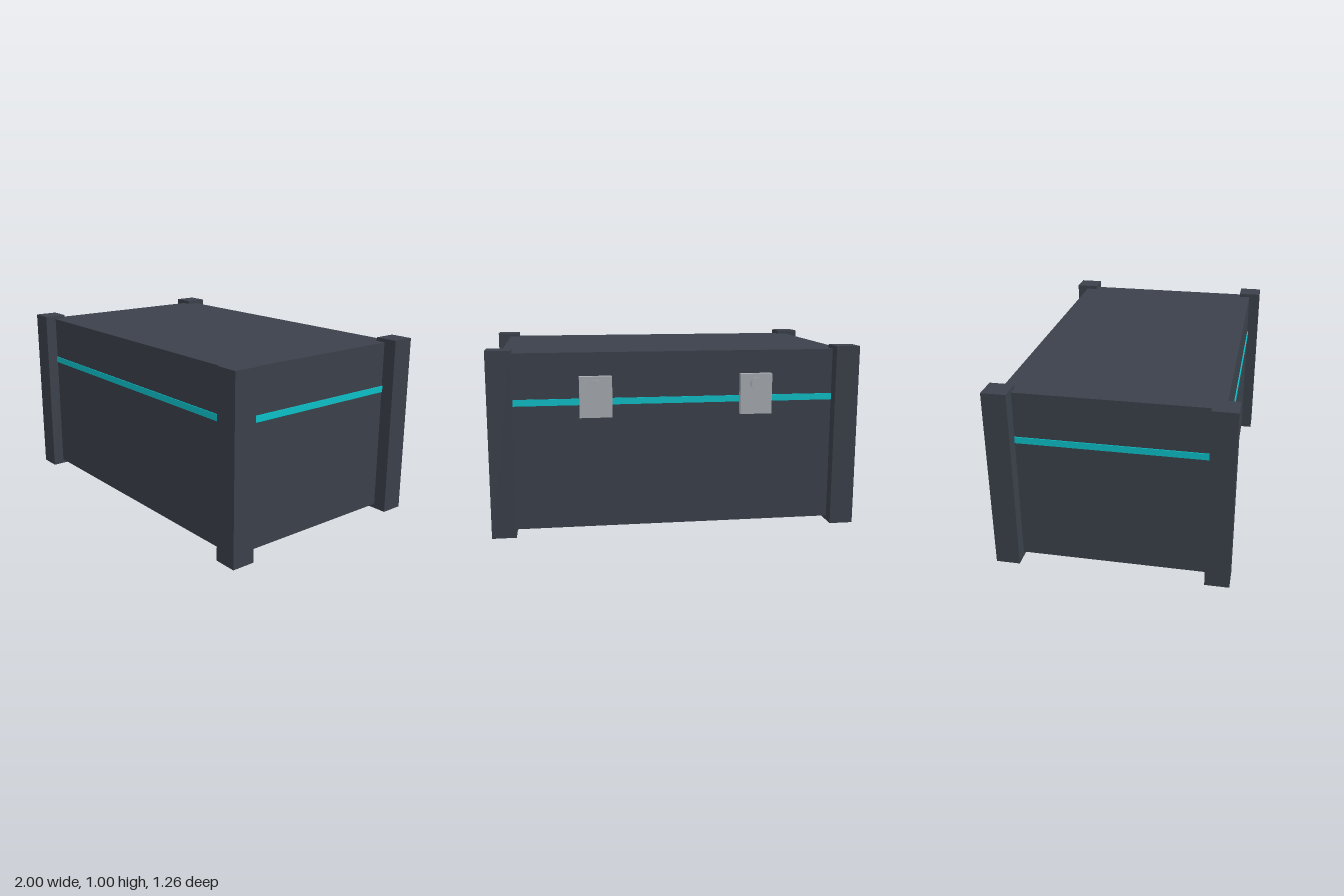
import * as THREE from 'three';

export function createModel() {
  const root = new THREE.Group();
  root.name = 'storageCrate';

  const makeMaterial = (name, color) => {
    const material = new THREE.MeshStandardMaterial({ color });
    material.name = name;
    return material;
  };
  const slate = makeMaterial('slate', 0x3b414b);
  const cyan = makeMaterial('cyan', 0x0cc2ca);
  const steel = makeMaterial('steel', 0xa8adb3);

  const addBox = (parent, name, material, size, position) => {
    const mesh = new THREE.Mesh(new THREE.BoxGeometry(...size), material);
    mesh.name = name;
    mesh.position.set(...position);
    parent.add(mesh);
    return mesh;
  };

  // Main container
  addBox(root, 'body', slate, [1.85, 0.955, 1.13], [0, 0.5025, 0]);

  // Glowing band, standing just proud of all four walls
  for (const s of [-1, 1]) {
    addBox(root, 'bandLong', cyan, [1.86, 0.035, 0.005], [0, 0.7175, s * 0.5675]);
    addBox(root, 'bandShort', cyan, [0.005, 0.035, 1.13], [s * 0.9275, 0.7175, 0]);
  }

  // Corner posts
  for (const x of [-1, 1]) {
    for (const z of [-1, 1]) {
      addBox(root, 'cornerPost', slate, [0.13, 1, 0.13], [x * 0.935, 0.5, z * 0.565]);
    }
  }

  // Two latches on the back wall, each with a round stud
  for (const s of [-1, 1]) {
    const latch = new THREE.Group();
    latch.name = 'latch';
    latch.position.set(s * 0.435, 0.745, -0.565);
    addBox(latch, 'latchPlate', steel, [0.174, 0.22, 0.035], [0, 0, -0.0175]);
    const stud = new THREE.Mesh(new THREE.CylinderGeometry(0.034, 0.034, 0.03, 16), steel);
    stud.name = 'latchStud';
    stud.rotation.x = Math.PI / 2;
    stud.position.set(0, 0.057, -0.034);
    latch.add(stud);
    root.add(latch);
  }

  return root;
}
